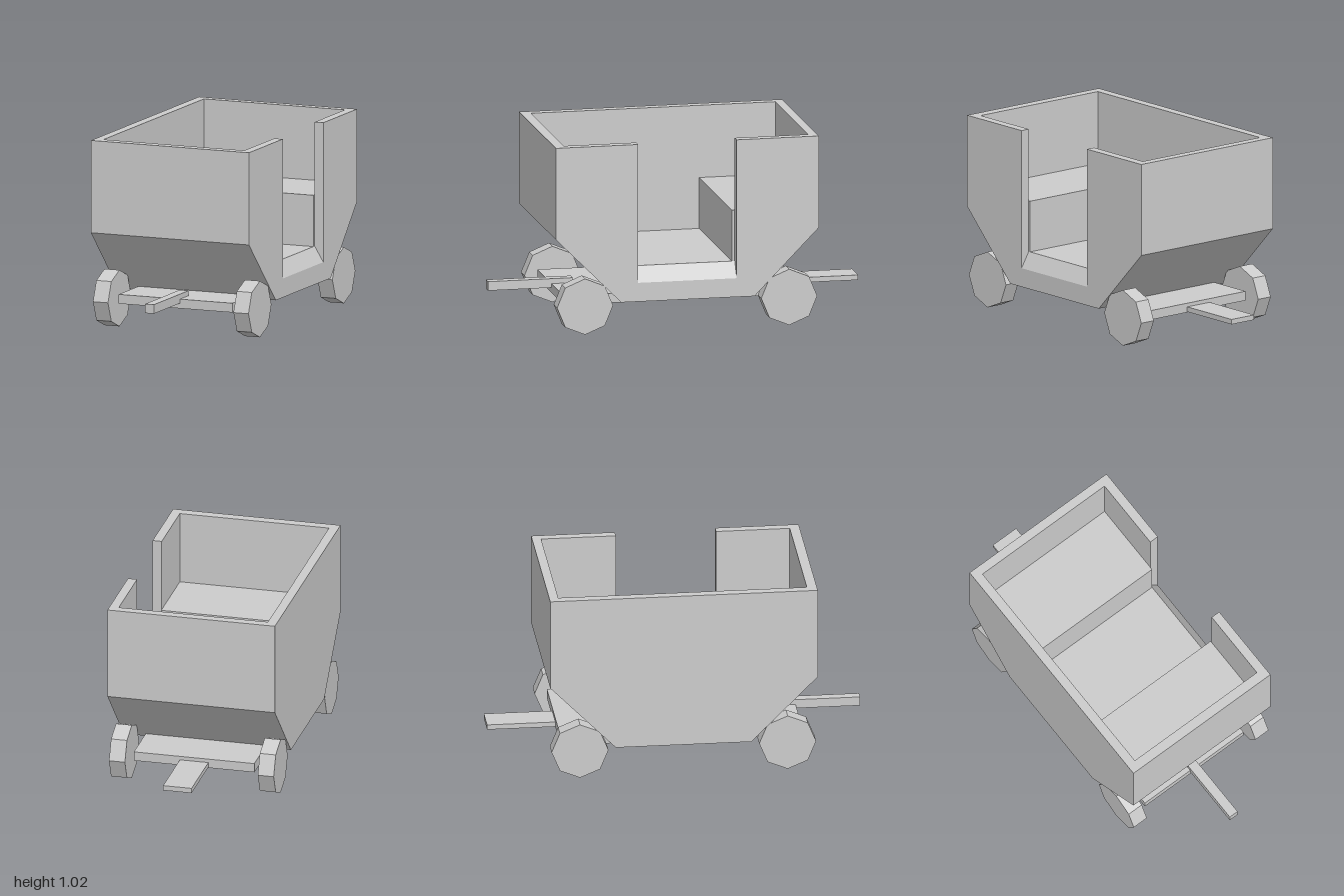
import * as THREE from 'three';

const material = new THREE.MeshStandardMaterial({ color: 0xcccccc, flatShading: true });

function polygon(points) {
  return new THREE.Shape(points.map(([a, b]) => new THREE.Vector2(a, b)));
}

export function createModel() {
  const group = new THREE.Group();

  function add(name, geometry, x = 0, y = 0, z = 0) {
    const mesh = new THREE.Mesh(geometry, material);
    mesh.name = name;
    mesh.position.set(x, y, z);
    group.add(mesh);
  }

  // Box given by its limits on each axis
  function box(name, [x0, x1], [y0, y1], [z0, z1]) {
    add(name, new THREE.BoxGeometry(x1 - x0, y1 - y0, z1 - z0),
      (x0 + x1) / 2, (y0 + y1) / 2, (z0 + z1) / 2);
  }

  // Side profile of (z, y) points, extruded across x
  function slab(name, points, x0, x1) {
    const geometry = new THREE.ExtrudeGeometry(polygon(points), { depth: x1 - x0, bevelEnabled: false });
    geometry.rotateY(-Math.PI / 2);
    add(name, geometry, x1);
  }

  const top = 1.023;
  const hull = [[-0.705, top], [-0.705, 0.525], [-0.355, 0.168], [0.37, 0.168], [0.725, 0.525], [0.725, top]];

  // Closed side wall
  slab('rightWall', hull, -0.46, -0.41);

  // Side wall with the doorway cut from the top
  slab('leftWall', [...hull, [0.278, top], [0.278, 0.27], [-0.258, 0.27], [-0.258, top]], 0.407, 0.457);

  // End walls, benches and floor in one stepped profile
  slab('tub', [...hull,
    [0.672, top], [0.672, 0.63], [0.268, 0.63], [0.268, 0.353],
    [-0.243, 0.353], [-0.243, 0.63], [-0.657, 0.63], [-0.657, top]], -0.41, 0.407);

  // Sloping door sill
  const sill = polygon([[0.407, 0.27], [0.457, 0.27], [0.407, 0.353]]);
  add('doorSill', new THREE.ExtrudeGeometry(sill, { depth: 0.536, bevelEnabled: false }), 0, 0, -0.258);

  // Chassis plank and couplings
  box('chassis', [-0.33, 0.33], [0.14, 0.19], [-0.635, 0.655]);
  box('frontTowBar', [-0.026, 0.026], [0.168, 0.217], [0.54, 1]);
  box('rearHitchPlate', [-0.078, 0.078], [0.143, 0.17], [-1, -0.6]);

  // Octagonal wheels
  const wheel = new THREE.CylinderGeometry(0.152, 0.152, 0.087, 8).rotateZ(Math.PI / 2);
  for (const [end, z] of [['front', 0.565], ['rear', -0.545]]) {
    for (const [side, x] of [['Left', 0.407], ['Right', -0.408]]) {
      add(`${end}${side}Wheel`, wheel, x, 0.152, z);
    }
  }

  return group;
}
